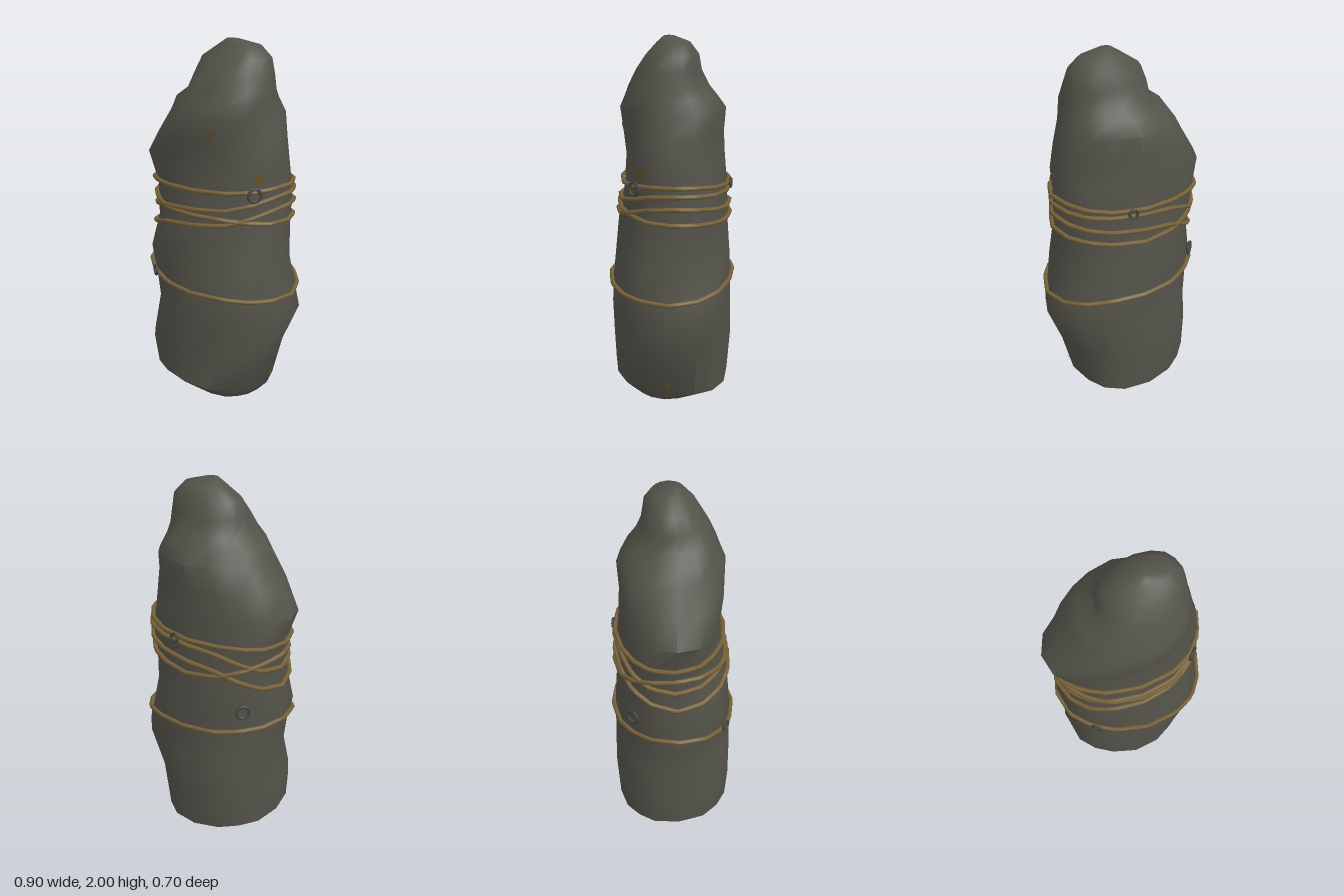
import * as THREE from 'three';
import { toCreasedNormals } from 'three/addons/utils/BufferGeometryUtils.js';

const SIDES = 16;

// Cross-sections of the boulder: y, left x, right x, front z, back z, tilt flag
const LEVELS = [
  [0.025, -0.16, 0.25, 0.21, -0.14, 0],
  [0.10, -0.395, 0.295, 0.33, -0.32, 1],
  [0.32, -0.41, 0.36, 0.335, -0.335, 0],
  [0.53, -0.385, 0.44, 0.335, -0.33, 0],
  [0.67, -0.39, 0.42, 0.33, -0.325, 0],
  [0.83, -0.42, 0.39, 0.315, -0.32, 0],
  [1.02, -0.385, 0.372, 0.295, -0.305, 0],
  [1.20, -0.40, 0.38, 0.26, -0.30, 0],
  [1.37, -0.45, 0.38, 0.25, -0.285, 0],
  [1.50, -0.375, 0.35, 0.262, -0.277, 0],
  [1.63, -0.285, 0.325, 0.275, -0.285, 0],
  [1.70, -0.24, 0.31, 0.245, -0.235, 0],
  [1.75, -0.17, 0.297, 0.225, -0.195, 0],
  [1.83, -0.145, 0.285, 0.185, -0.155, 0],
  [1.91, -0.11, 0.27, 0.13, -0.14, 0],
  [1.97, -0.02, 0.21, 0.075, -0.095, 0],
  [2.0, 0.03, 0.10, 0.04, -0.01, 0],
];

const boxy = (v) => Math.sign(v) * Math.abs(v) ** 0.86;

// Corner of a cross-section; angle 0 is +x and a quarter turn is the front
function corner(i, j) {
  const [y, xl, xr, zf, zb, tilt] = LEVELS[i];
  const a = (j / SIDES) * Math.PI * 2;
  const lump = 1 - 0.035 * Math.abs(Math.sin(2 * a)) * (1 + Math.sin(i * 1.9 + 3 * a));
  const x = (xl + xr) / 2 + ((xr - xl) / 2) * boxy(Math.cos(a)) * lump;
  const z = (zf + zb) / 2 + ((zf - zb) / 2) * boxy(Math.sin(a)) * lump;
  return new THREE.Vector3(x, y + tilt * (0.09 * z - 0.1 * x), z);
}

// Point on the boulder at an angle and height, pushed outwards
function surface(angle, y, out) {
  const t = (angle / (Math.PI * 2)) * SIDES;
  const j = Math.floor(t + 1e-6);
  const at = (i) => corner(i, j).lerp(corner(i, j + 1), t - j);
  let i = 1;
  while (i < LEVELS.length - 2 && at(i + 1).y < y) i++;
  const low = at(i), high = at(i + 1);
  const p = low.clone().lerp(high, (y - low.y) / (high.y - low.y));
  return p.add(new THREE.Vector3(Math.cos(angle), 0, Math.sin(angle)).multiplyScalar(out));
}

function boulderGeometry() {
  const pos = [], index = [];
  for (let i = 0; i < LEVELS.length; i++)
    for (let j = 0; j < SIDES; j++) pos.push(...corner(i, j).toArray());
  pos.push(-0.06, 0, 0, 0.06, 2, 0.01);
  const bottom = LEVELS.length * SIDES, last = bottom - SIDES;
  for (let j = 0; j < SIDES; j++) {
    const k = (j + 1) % SIDES;
    for (let i = 0; i < LEVELS.length - 1; i++) {
      const a = i * SIDES + j, b = i * SIDES + k;
      index.push(a, a + SIDES, b, b, a + SIDES, b + SIDES);
    }
    index.push(bottom, j, k, bottom + 1, last + k, last + j);
  }
  const g = new THREE.BufferGeometry();
  g.setAttribute('position', new THREE.Float32BufferAttribute(pos, 3));
  g.setIndex(index);
  return toCreasedNormals(g, 0.75);
}

// Rope loop with heights given at the right, front, left and back sides
function ropeGeometry(right, front, left, back) {
  const pts = [];
  for (let j = 0; j < SIDES; j++) {
    const a = (j / SIDES) * Math.PI * 2, c = Math.cos(a), s = Math.sin(a);
    const y = c * c * (c > 0 ? right : left) + s * s * (s > 0 ? front : back);
    pts.push(surface(a, y, 0.014));
  }
  const path = new THREE.CatmullRomCurve3(pts, true, 'catmullrom', 0);
  return new THREE.TubeGeometry(path, SIDES * 3, 0.0125, 6, true);
}

// Irregular thin stain that follows the boulder
function stainGeometry(angle, y, size) {
  const n = 8, pos = [...surface(angle, y, 0.007).toArray()], index = [];
  for (let j = 0; j < n; j++) {
    const a = (j / n) * Math.PI * 2, r = size * (0.85 + 0.25 * Math.sin(j * 2.3 + y * 9));
    pos.push(...surface(angle + (Math.cos(a) * r) / 0.34, y + Math.sin(a) * r, 0.007).toArray());
    index.push(0, ((j + 1) % n) + 1, j + 1);
  }
  const g = new THREE.BufferGeometry();
  g.setAttribute('position', new THREE.Float32BufferAttribute(pos, 3));
  g.setIndex(index);
  g.computeVertexNormals();
  return g;
}

export function createModel() {
  const material = (name, color, side = THREE.FrontSide) => {
    const m = new THREE.MeshStandardMaterial({ color, side });
    m.name = name;
    return m;
  };
  const stone = material('stone', 0x54534a);
  const rope = material('rope', 0x77623a);
  const iron = material('iron', 0x44453f);
  const rust = material('ochre stain', 0x685128, THREE.DoubleSide);

  const group = new THREE.Group();
  group.name = 'boundStone';
  const add = (name, geometry, mat) => {
    const mesh = new THREE.Mesh(geometry, mat);
    mesh.name = name;
    group.add(mesh);
    return mesh;
  };

  add('standingStone', boulderGeometry(), stone);

  // Four crossing loops at the waist and one below
  [
    [1.275, 1.25, 1.23, 1.24],
    [1.08, 1.12, 1.16, 1.05],
    [1.23, 1.15, 1.08, 1.21],
    [1.165, 1.07, 0.97, 1.12],
    [0.665, 0.70, 0.77, 0.73],
  ].forEach((heights, i) => add(`ropeLoop${i + 1}`, ropeGeometry(...heights), rope));

  // Iron rings hung on the ropes: angle, height, radius
  [
    [0.73, 1.25, 0.034],
    [-1.4, 1.23, 0.022],
    [3.9, 0.88, 0.034],
    [2.25, 0.745, 0.025],
  ].forEach(([a, y, r], i) => {
    const ring = add(`ring${i + 1}`, new THREE.TorusGeometry(r, 0.008, 8, 20), iron);
    const p = surface(a, y, 0.028);
    ring.position.copy(p);
    ring.lookAt(p.x + Math.cos(a), p.y, p.z + Math.sin(a));
  });

  // Small ochre stains: angle, height, size
  [
    [1.36, 1.54, 0.022],
    [0.62, 1.33, 0.036],
    [1.74, 0.83, 0.011],
    [0.03, 0.15, 0.02],
    [-0.8, 0.85, 0.01],
  ].forEach((s, i) => add(`stain${i + 1}`, stainGeometry(...s), rust));

  return group;
}
